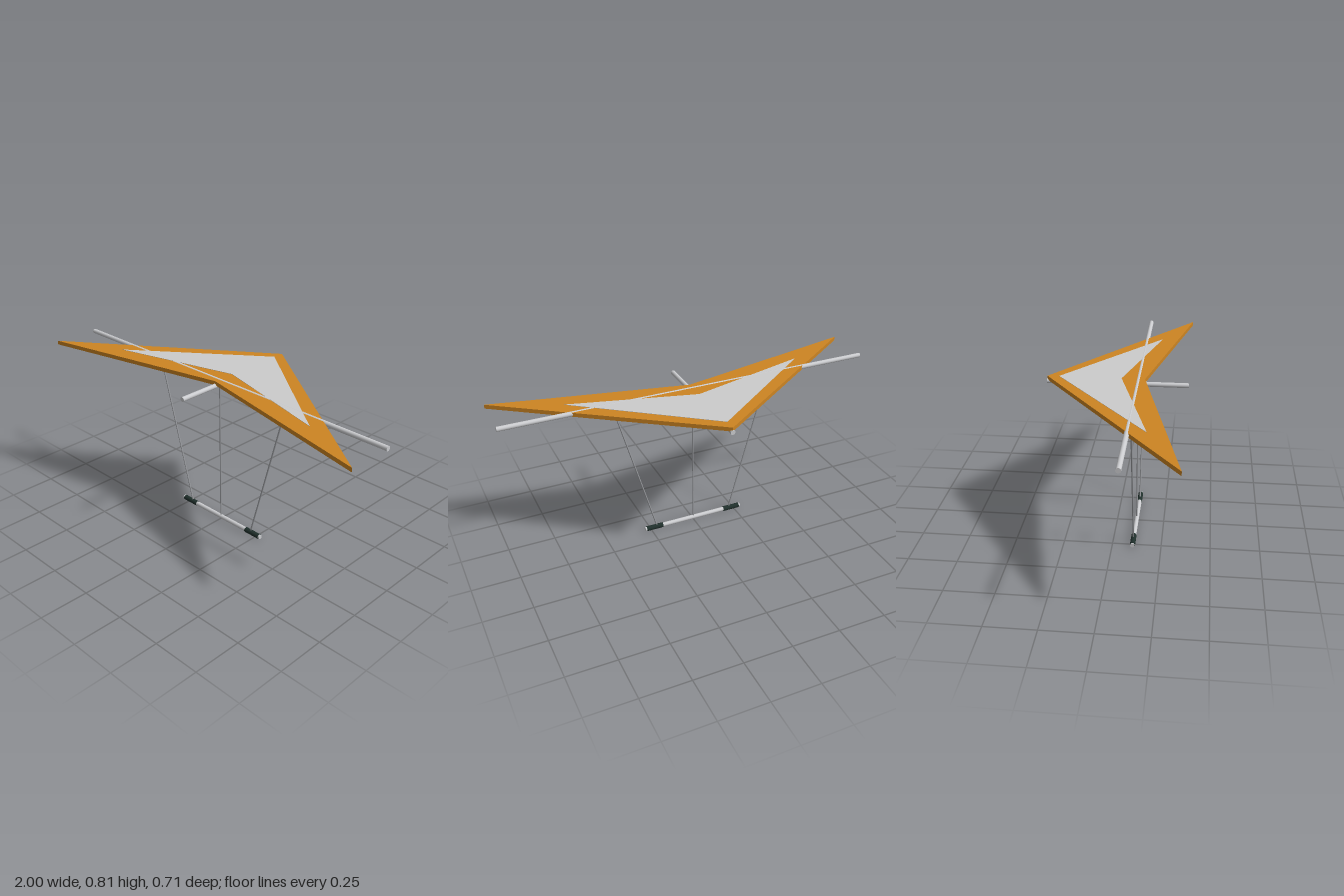
import * as THREE from 'three';

const mat = (name, color) => {
  const m = new THREE.MeshStandardMaterial({ color });
  m.name = name;
  return m;
};

export function createModel() {
  const orange = mat('orange sail', 0xcd8522);
  const pale = mat('pale grey panel', 0xcccccc);
  const silver = mat('silver tube', 0xcccdd0);
  const steel = mat('steel cable', 0x9a9ca0);
  const dark = mat('dark grip', 0x20302c);

  const group = new THREE.Group();
  group.name = 'hangGlider';
  const barZ = 0.105;

  const add = (name, geometry, material) => {
    const mesh = new THREE.Mesh(geometry, material);
    mesh.name = name;
    group.add(mesh);
    return mesh;
  };

  // Round rod between two points
  const rod = (name, a, b, radius, material, sides = 16) => {
    const from = new THREE.Vector3(...a), to = new THREE.Vector3(...b);
    const dir = to.clone().sub(from);
    const mesh = add(name, new THREE.CylinderGeometry(radius, radius, dir.length(), sides), material);
    mesh.position.copy(from).add(to).multiplyScalar(0.5);
    mesh.quaternion.setFromUnitVectors(new THREE.Vector3(0, 1, 0), dir.normalize());
  };

  // Flat swept wing: nose z, tip x and z, trailing notch z, bottom and top heights
  const wing = (name, nose, tipX, tipZ, notch, y0, y1, material) => {
    const shape = new THREE.Shape([[0, -nose], [-tipX, -tipZ], [0, -notch], [tipX, -tipZ]]
      .map(([x, y]) => new THREE.Vector2(x, y)));
    const g = new THREE.ExtrudeGeometry(shape, { depth: y1 - y0, bevelEnabled: false });
    g.rotateX(-Math.PI / 2).translate(0, y0, 0);
    add(name, g, material);
  };

  // Sail, with a pale panel showing on both faces
  wing('sail', -0.355, 1, 0.355, 0.138, 0.79, 0.811, orange);
  wing('topPanel', -0.295, 0.645, 0.192, 0.02, 0.809, 0.8125, pale);
  wing('bottomPanel', -0.295, 0.645, 0.192, 0.02, 0.7875, 0.791, pale);

  // Frame tubes
  rod('crossbar', [-1, 0.801, barZ], [1, 0.801, barZ], 0.0122, silver);
  rod('keel', [0, 0.785, -0.357], [0, 0.785, 0.357], 0.0122, silver);

  // Control bar with its centre cable
  rod('controlBar', [-0.285, 0.0135, barZ], [0.285, 0.0135, barZ], 0.0115, silver);
  rod('centreCable', [0, 0.0135, barZ], [0, 0.79, barZ], 0.004, steel, 8);

  // Side cables and grips
  for (const [side, s] of [['left', 1], ['right', -1]]) {
    rod(side + 'Cable', [s * 0.215, 0.0135, barZ], [s * 0.431, 0.798, barZ], 0.004, steel, 8);
    rod(side + 'Grip', [s * 0.183, 0.0135, barZ], [s * 0.277, 0.0135, barZ], 0.0135, dark);
  }
  return group;
}
